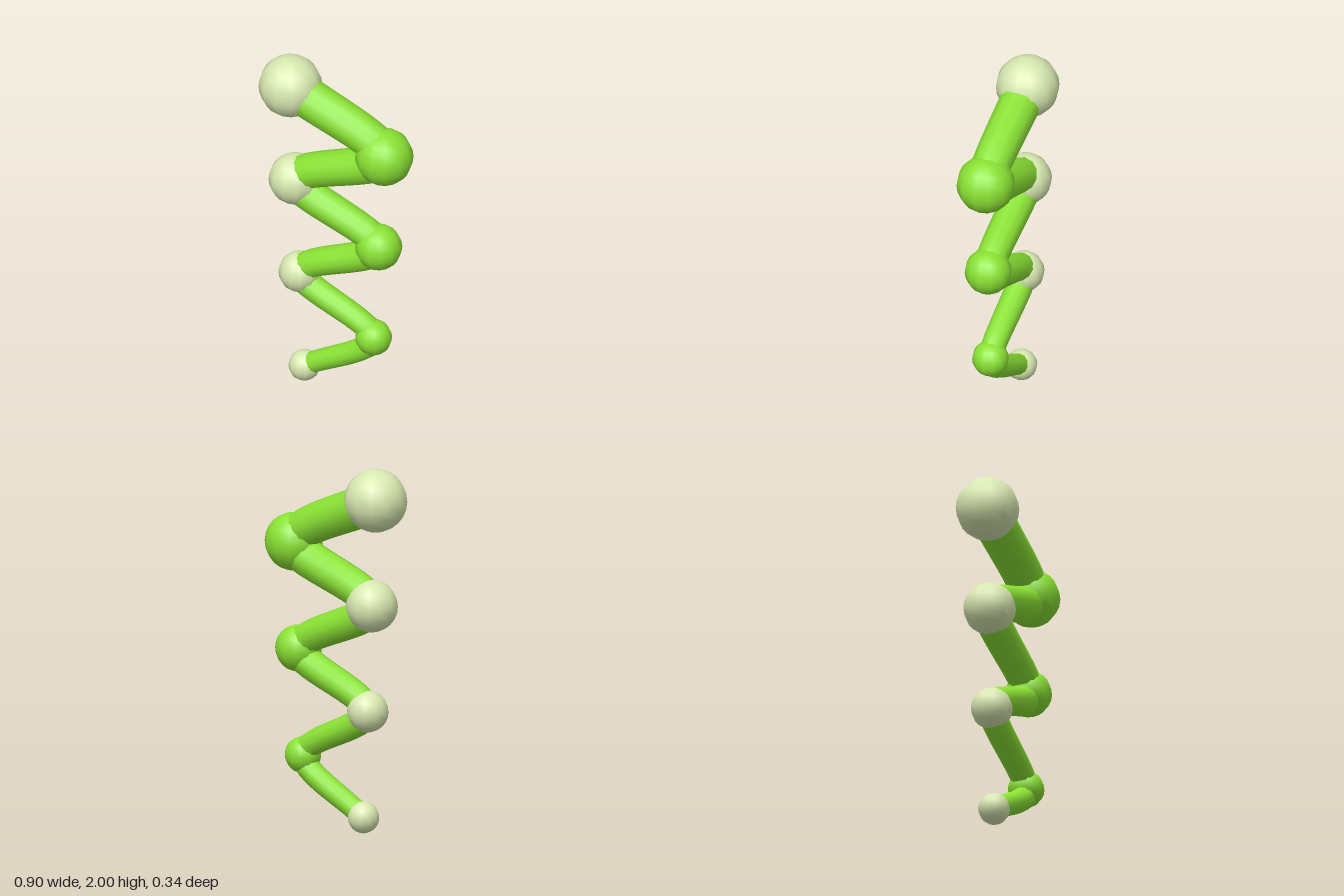
import * as THREE from 'three';

// Joints from top to bottom: x, y, radius
const JOINTS = [
  [-0.277, 1.83, 0.172],
  [0.29, 1.54, 0.158],
  [-0.25, 1.25, 0.142],
  [0.257, 0.96, 0.127],
  [-0.222, 0.67, 0.113],
  [0.226, 0.38, 0.099],
  [-0.192, 0.087, 0.086],
];

// Tube along a curve whose radius shrinks evenly from start to end
function taperedTube(curve, startRadius, endRadius, segments, sides) {
  const geometry = new THREE.TubeGeometry(curve, segments, 1, sides, false);
  const position = geometry.attributes.position;
  const vertex = new THREE.Vector3();
  for (let i = 0; i <= segments; i++) {
    const t = i / segments;
    const centre = curve.getPointAt(t);
    const radius = THREE.MathUtils.lerp(startRadius, endRadius, t);
    for (let j = 0; j <= sides; j++) {
      const k = i * (sides + 1) + j;
      vertex.fromBufferAttribute(position, k).sub(centre).multiplyScalar(radius).add(centre);
      position.setXYZ(k, vertex.x, vertex.y, vertex.z);
    }
  }
  return geometry;
}

export function createModel() {
  const group = new THREE.Group();
  group.name = 'zigzagStem';
  const green = new THREE.MeshStandardMaterial({ color: 0x8ae234 });
  const cream = new THREE.MeshStandardMaterial({ color: 0xd8e8b0 });

  // Stem winding smoothly through every joint
  const curve = new THREE.CatmullRomCurve3(JOINTS.map(([x, y]) => new THREE.Vector3(x, y, 0)));
  const stem = new THREE.Mesh(taperedTube(curve, 0.116, 0.058, 72, 12), green);
  stem.name = 'stem';
  group.add(stem);

  // Balls at the bends, alternating in colour
  JOINTS.forEach(([x, y, radius], i) => {
    const ball = new THREE.Mesh(new THREE.SphereGeometry(radius, 12, 12), i % 2 ? green : cream);
    ball.name = i % 2 ? 'leftBall' : 'rightBall';
    ball.position.set(x, y, 0);
    group.add(ball);
  });

  return group;
}
